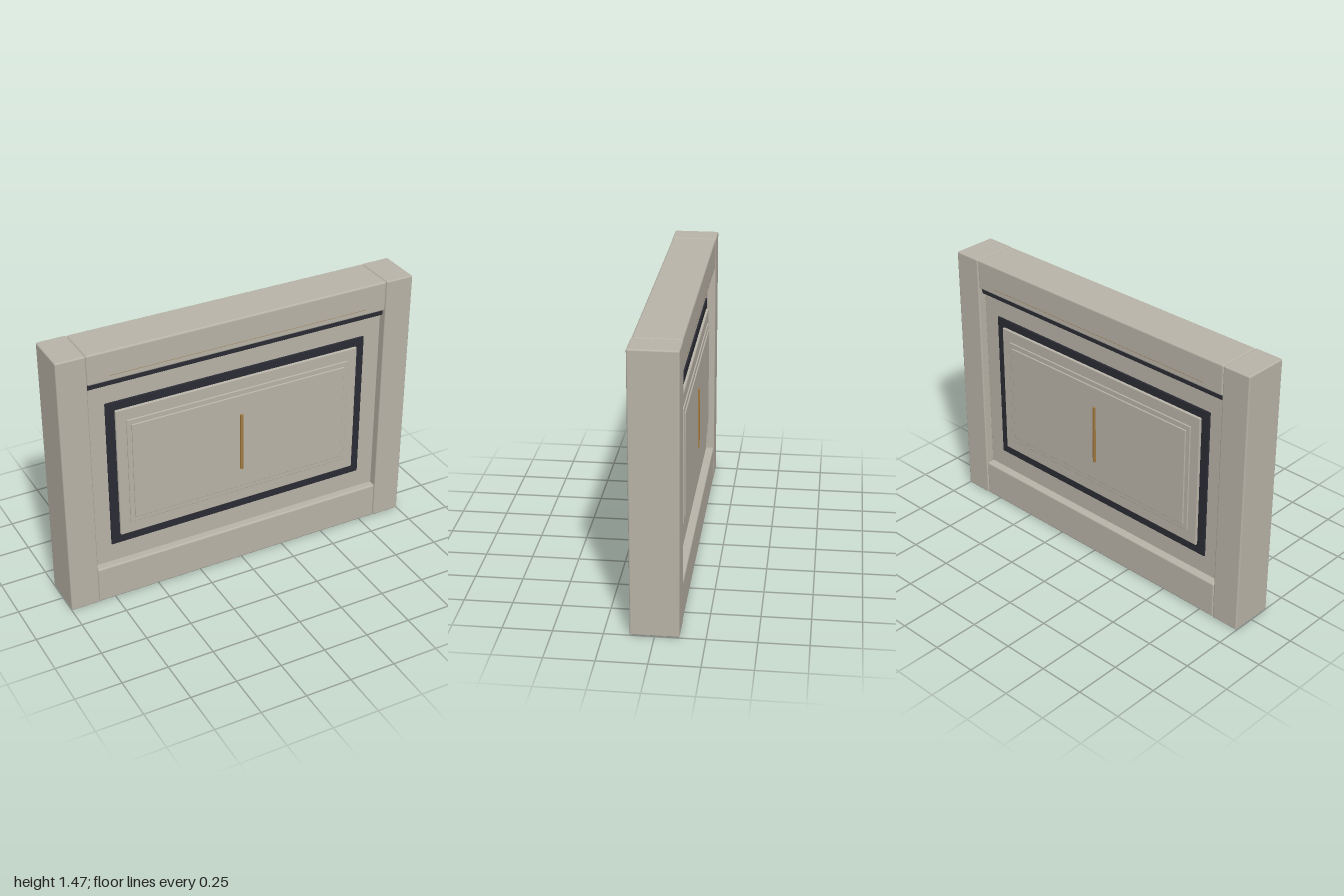
import * as THREE from 'three';
import { RoundedBoxGeometry } from 'three/addons/geometries/RoundedBoxGeometry.js';

export function createModel() {
  const group = new THREE.Group();
  group.name = 'panelledDoorSection';

  const material = (name, color) => {
    const m = new THREE.MeshStandardMaterial({ color });
    m.name = name;
    return m;
  };
  const paint = material('warm grey paint', 0xb8b3a7);
  const dark = material('dark trim', 0x2b2b35);
  const brass = material('brass', 0xa37a40);

  // Softly rounded slab, centred on z = 0 so both faces match
  const slab = (name, mat, x0, x1, y0, y1, halfDepth, radius) => {
    const geo = new RoundedBoxGeometry(x1 - x0, y1 - y0, halfDepth * 2, 2, radius);
    const mesh = new THREE.Mesh(geo, mat);
    mesh.name = name;
    mesh.position.set((x0 + x1) / 2, (y0 + y1) / 2, 0);
    group.add(mesh);
    return mesh;
  };

  // Outer frame: two posts and two rails
  slab('leftPost', paint, 0.842, 1, 0, 1.47, 0.122, 0.008);
  slab('rightPost', paint, -1, -0.842, 0, 1.47, 0.122, 0.008);
  slab('bottomRail', paint, -0.842, 0.842, 0, 0.205, 0.12, 0.01);
  slab('topRail', paint, -0.842, 0.842, 1.303, 1.47, 0.12, 0.01);

  // Recessed main panel and the dark strip under the top rail
  slab('mainPanel', paint, -0.842, 0.842, 0.2, 1.29, 0.077, 0.004);
  slab('darkStrip', dark, -0.842, 0.842, 1.268, 1.304, 0.1, 0.006);

  // Stepped centre panel: dark border, raised field and two fine mouldings
  slab('darkBorder', dark, -0.743, 0.743, 0.311, 1.159, 0.084, 0.005);
  slab('raisedField', paint, -0.694, 0.694, 0.364, 1.111, 0.097, 0.005);
  slab('outerMoulding', paint, -0.639, 0.639, 0.43, 1.046, 0.103, 0.004);
  slab('innerField', paint, -0.614, 0.614, 0.458, 1.018, 0.109, 0.004);

  // Upright brass bar through the centre, seen on both faces
  slab('brassBar', brass, -0.008, 0.008, 0.57, 0.905, 0.118, 0.003);

  // Hairline brass inlay on the top rail
  const inlay = new THREE.Mesh(new THREE.BoxGeometry(1.45, 0.002, 0.2404), brass);
  inlay.name = 'railInlay';
  inlay.position.y = 1.335;
  group.add(inlay);

  return group;
}
